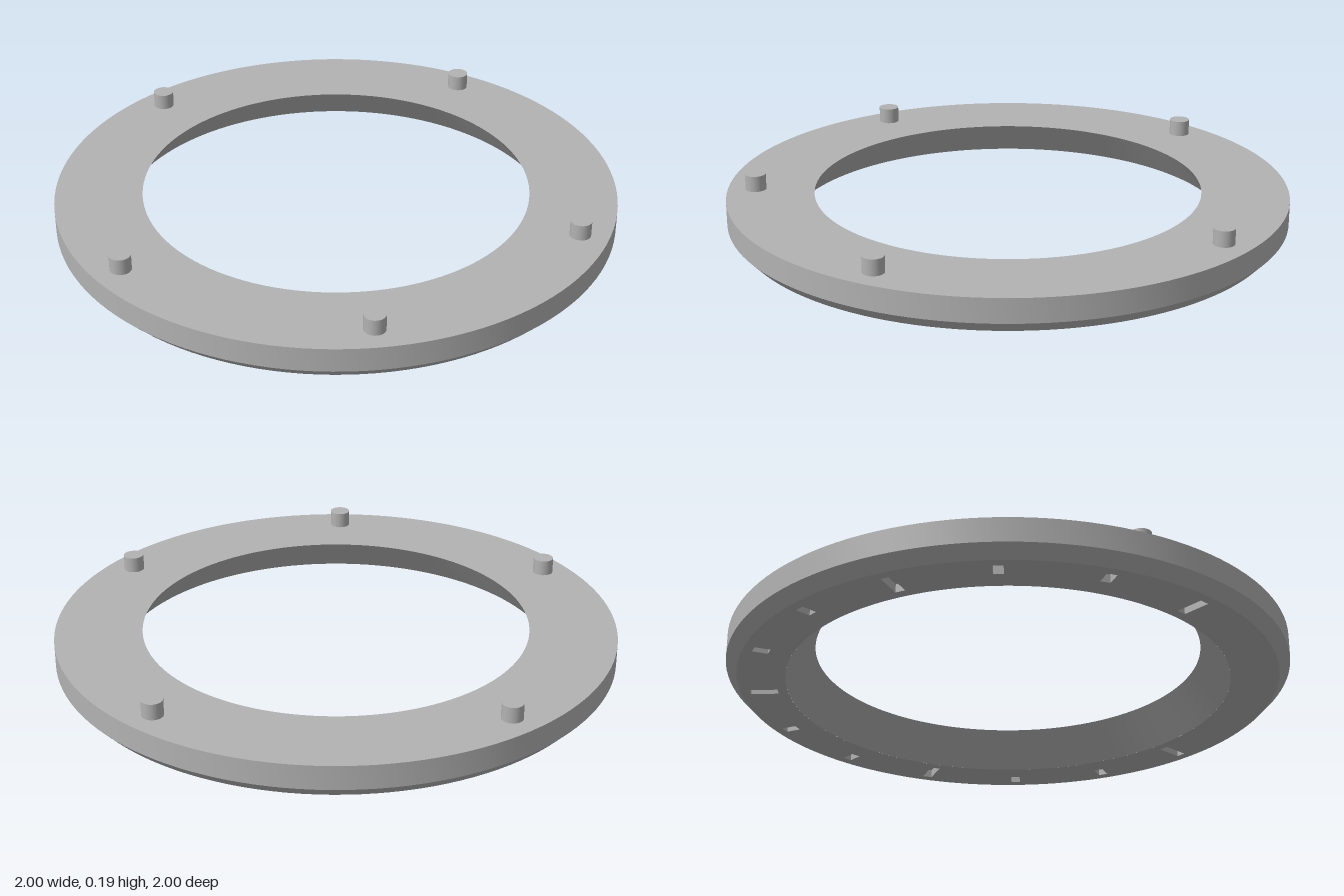
import * as THREE from 'three';
import { toCreasedNormals } from 'three/addons/utils/BufferGeometryUtils.js';

const SEGMENTS = 128;
const SLOT_WIDTH = 0.035, SLOT_DEPTH = 0.03, SLOT_OUTER = 0.925;

// Open-bottomed box turned inside out: the walls and ceiling of a recess
function pocketGeometry(length) {
  const g = new THREE.BoxGeometry(length, SLOT_DEPTH, SLOT_WIDTH);
  const index = Array.from(g.index.array).filter((_, i) => i < 18 || i >= 24);
  g.setIndex(index.reverse());
  g.clearGroups();
  g.computeVertexNormals();
  return g;
}

export function createModel() {
  const group = new THREE.Group();
  const grey = new THREE.MeshStandardMaterial({ color: 0xb2b2b2 });
  const add = (name, geometry, parent = group) => {
    const mesh = new THREE.Mesh(geometry, grey);
    mesh.name = name;
    parent.add(mesh);
    return mesh;
  };

  // Ring body: chamfered rim, flat top, flared bore (underside is separate)
  const profile = [[0.96, 0], [1, 0.042], [1, 0.128], [0.69, 0.128], [0.79, 0]]
    .map(([r, y]) => new THREE.Vector2(r, y));
  add('ringBody', toCreasedNormals(new THREE.LatheGeometry(profile, SEGMENTS), 0.5));

  // Underside annulus pierced by thirteen radial scale slots, open at the front
  const underside = new THREE.Shape().absarc(0, 0, 0.96, 0, Math.PI * 2);
  underside.holes.push(new THREE.Path().absarc(0, 0, 0.79, 0, Math.PI * 2, true));
  const slots = new THREE.Group();
  slots.name = 'scaleSlots';
  group.add(slots);
  for (let i = 0; i < 13; i++) {
    const angle = Math.PI / 4 - i * Math.PI / 8;
    const length = i % 3 === 0 ? 0.1 : 0.055; // every third slot is long
    const inner = SLOT_OUTER - length, w = SLOT_WIDTH / 2;
    const corners = [[inner, -w], [inner, w], [SLOT_OUTER, w], [SLOT_OUTER, -w]]
      .map(([x, y]) => new THREE.Vector2(x, y).rotateAround(new THREE.Vector2(), angle));
    underside.holes.push(new THREE.Path(corners));

    const pocket = pocketGeometry(length);
    pocket.translate(SLOT_OUTER - length / 2, SLOT_DEPTH / 2, 0);
    pocket.rotateY(-angle);
    add('scaleSlot', pocket, slots);
  }
  add('underside', new THREE.ShapeGeometry(underside, SEGMENTS).rotateX(Math.PI / 2));

  // Locating pegs on the top face
  const peg = new THREE.CylinderGeometry(0.037, 0.037, 0.057, 32);
  for (const [x, z] of [[0, 0.9], [0.78, 0.45], [-0.78, 0.45], [0.58, -0.69], [-0.58, -0.69]]) {
    add('peg', peg).position.set(x, 0.1565, z);
  }
  return group;
}
